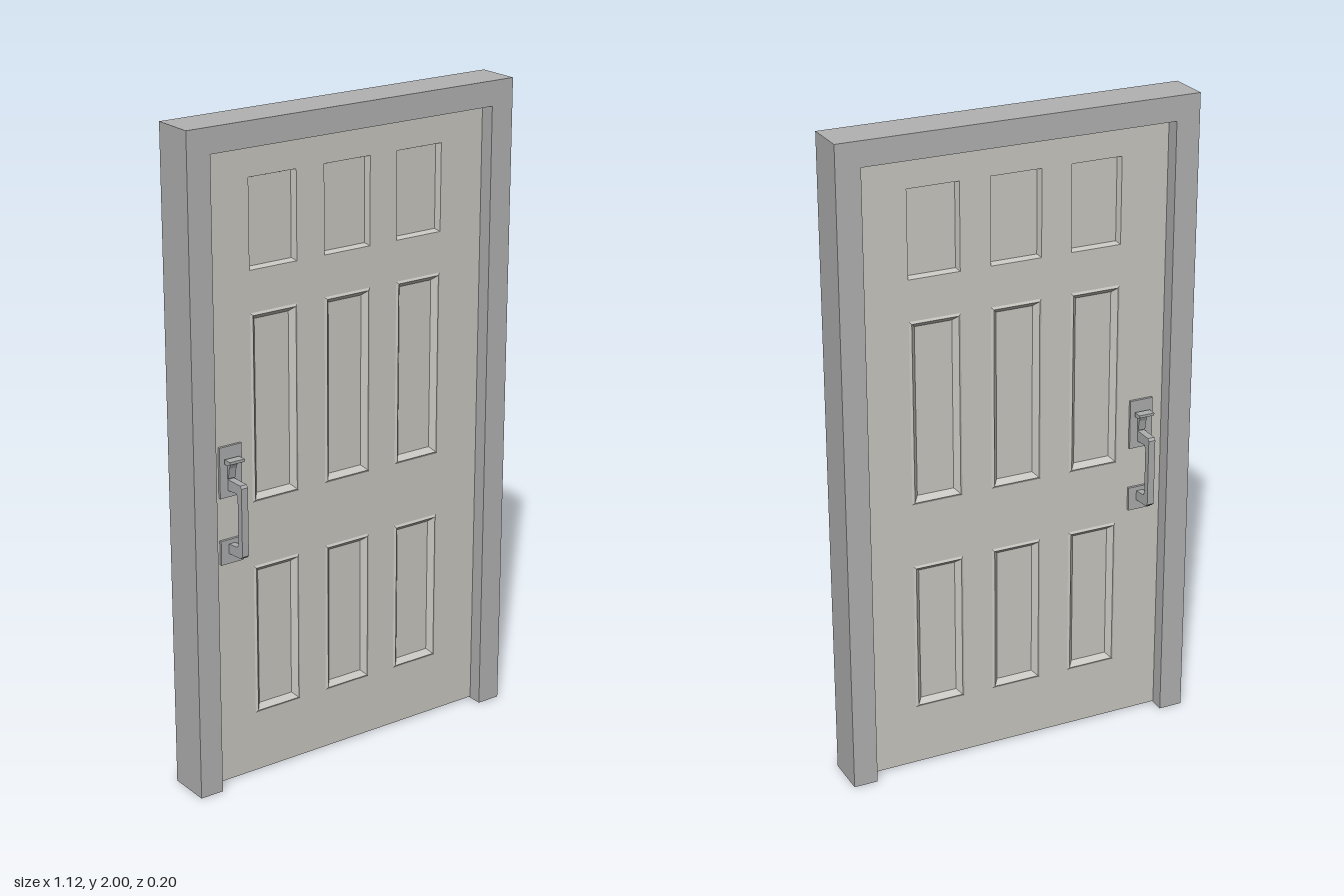
import * as THREE from 'three';

const mat = (name, color) => {
  const m = new THREE.MeshStandardMaterial({ color });
  m.name = name;
  return m;
};

const HALF = 0.022;                      // half thickness of the door leaf
const COLUMNS = [-0.255, 0, 0.255];
const PANEL_W = 0.16;
const ROWS = [
  { name: 'windowPane', y0: 1.565, y1: 1.83, profile: [[0, 0], [0.006, -0.019]] },
  { name: 'tallPanel', y0: 0.87, y1: 1.44, profile: [[0, 0], [0.007, 0.004], [0.022, -0.013]] },
  { name: 'lowerPanel', y0: 0.195, y1: 0.67, profile: [[0, 0], [0.007, 0.004], [0.022, -0.013]] },
];

// Nested rectangles stepping inward by [inset, z], closed by a flat centre
function mouldedPanel(w, h, profile) {
  const loops = profile.map(([inset, z]) => {
    const x = w / 2 - inset, y = h / 2 - inset;
    return [[-x, -y, z], [x, -y, z], [x, y, z], [-x, y, z]];
  });
  const pos = [];
  const quad = (a, b, c, d) => pos.push(...a, ...b, ...c, ...a, ...c, ...d);
  for (let i = 0; i < loops.length - 1; i++) {
    const o = loops[i], n = loops[i + 1];
    for (let k = 0; k < 4; k++) {
      const j = (k + 1) % 4;
      quad(o[k], o[j], n[j], n[k]);
    }
  }
  quad(...loops[loops.length - 1]);
  const g = new THREE.BufferGeometry();
  g.setAttribute('position', new THREE.Float32BufferAttribute(pos, 3));
  g.computeVertexNormals();
  return g;
}

function rectPath(x0, y0, x1, y1) {
  return new THREE.Path([
    new THREE.Vector2(x0, y0), new THREE.Vector2(x0, y1),
    new THREE.Vector2(x1, y1), new THREE.Vector2(x1, y0),
  ]);
}

function add(parent, name, geometry, material, x = 0, y = 0, z = 0) {
  const m = new THREE.Mesh(geometry, material);
  m.name = name;
  m.position.set(x, y, z);
  parent.add(m);
  return m;
}

// Side outline of [z, y] points, extruded across x and centred on it
function sideExtrude(points, width) {
  const s = new THREE.Shape(points.map(([z, y]) => new THREE.Vector2(-z, y)));
  const g = new THREE.ExtrudeGeometry(s, { depth: width, bevelEnabled: false });
  g.translate(0, 0, -width / 2);
  g.rotateY(Math.PI / 2);
  return g;
}

// Pull handle with its two plates and thumb latch, facing +z
function makeHandle(metal) {
  const g = new THREE.Group();
  const z = HALF;
  add(g, 'upperPlate', new THREE.BoxGeometry(0.075, 0.155, 0.008), metal, 0, 0.988, z + 0.004);
  add(g, 'lowerPlate', new THREE.BoxGeometry(0.075, 0.075, 0.008), metal, 0, 0.742, z + 0.004);
  add(g, 'pullGrip', sideExtrude([
    [z, 0.735], [0.09, 0.74], [0.099, 0.748], [0.099, 0.957], [0.093, 0.965], [z, 0.965],
    [z, 0.93], [0.072, 0.935], [0.079, 0.925], [0.079, 0.78], [0.072, 0.77], [z, 0.765],
  ], 0.022), metal);
  // Thumb latch: a wide pad on a narrow curved stem
  add(g, 'thumbPad', sideExtrude([
    [z + 0.03, 1.016], [z + 0.042, 1.022], [z + 0.042, 1.03], [z + 0.014, 1.03], [z + 0.014, 1.016],
  ], 0.05), metal);
  add(g, 'thumbStem', sideExtrude([
    [z, 0.965], [z + 0.012, 0.968], [z + 0.018, 1.0], [z + 0.026, 1.018], [z + 0.014, 1.026], [z, 1.026],
  ], 0.024), metal);
  return g;
}

export function createModel() {
  const frameGrey = mat('frame grey', 0xb2b2b2);
  const doorCream = mat('door cream', 0xc8c6c0);
  const metalGrey = mat('handle metal', 0xacadae);

  const model = new THREE.Group();
  model.name = 'panelledDoor';

  // Frame: two jambs and a head in one piece, open at the bottom
  const outline = new THREE.Shape([
    [-0.56, 0], [-0.485, 0], [-0.485, 1.925], [0.485, 1.925],
    [0.485, 0], [0.56, 0], [0.56, 2], [-0.56, 2],
  ].map(([x, y]) => new THREE.Vector2(x, y)));
  const frame = new THREE.ExtrudeGeometry(outline, { depth: 0.134, bevelEnabled: false });
  add(model, 'doorFrame', frame, frameGrey, 0, 0, -0.067);

  // Door leaf with an opening for every panel
  const leaf = new THREE.Shape([
    new THREE.Vector2(-0.485, 0.004), new THREE.Vector2(0.485, 0.004),
    new THREE.Vector2(0.485, 1.925), new THREE.Vector2(-0.485, 1.925),
  ]);
  for (const row of ROWS) {
    for (const x of COLUMNS) {
      leaf.holes.push(rectPath(x - PANEL_W / 2, row.y0, x + PANEL_W / 2, row.y1));
    }
  }
  const slab = new THREE.ExtrudeGeometry(leaf, { depth: HALF * 2, bevelEnabled: false });
  add(model, 'doorLeaf', slab, doorCream, 0, 0, -HALF);

  // Moulded panels and handle on both faces
  for (const side of [1, -1]) {
    const turn = side > 0 ? 0 : Math.PI;
    for (const row of ROWS) {
      const geo = mouldedPanel(PANEL_W, row.y1 - row.y0, row.profile);
      for (const x of COLUMNS) {
        add(model, row.name, geo, doorCream, x, (row.y0 + row.y1) / 2, side * HALF).rotation.y = turn;
      }
    }
    const handle = makeHandle(metalGrey);
    handle.name = side > 0 ? 'frontHandle' : 'backHandle';
    handle.position.x = -0.413;
    handle.rotation.y = turn;
    model.add(handle);
  }
  return model;
}
